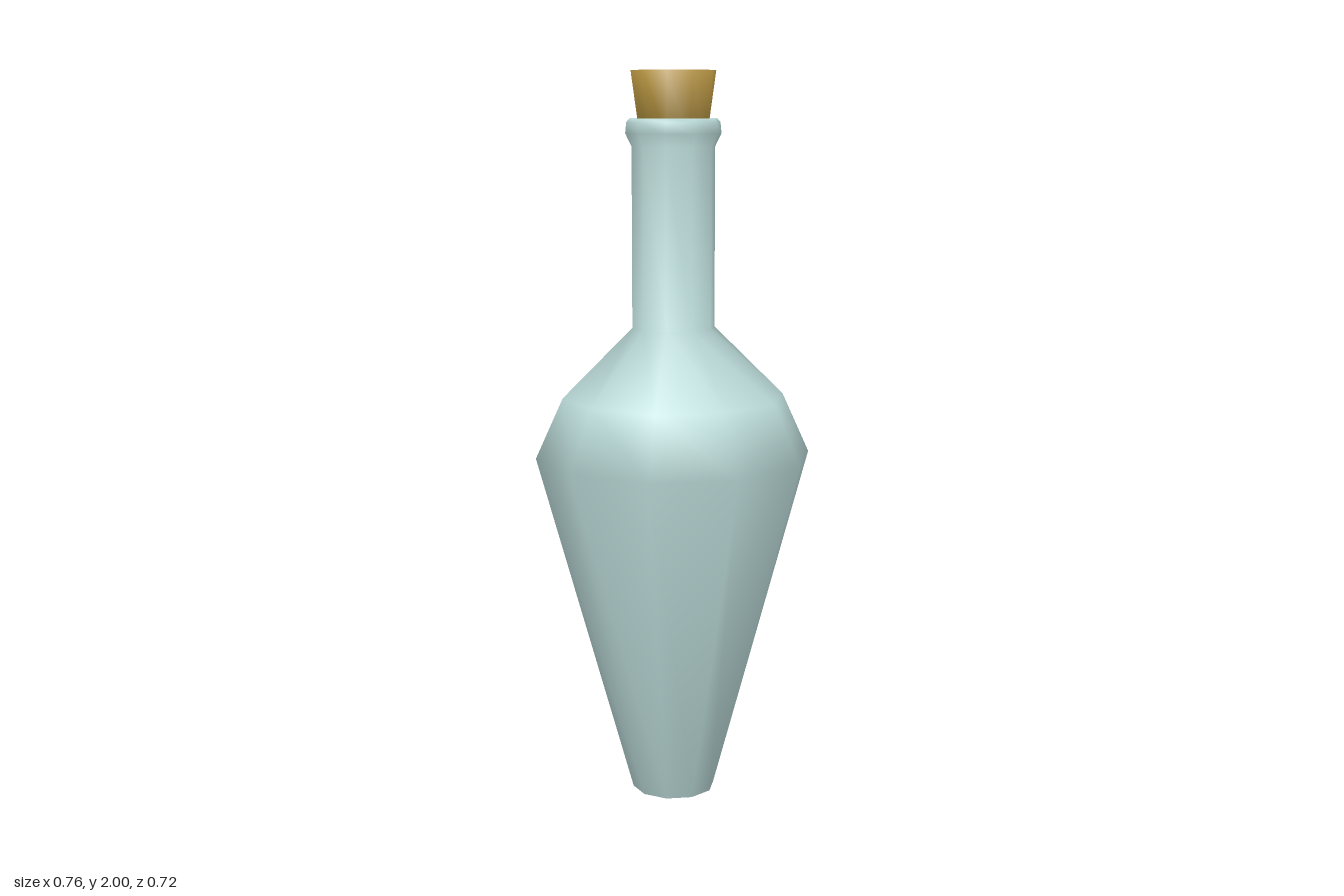
import * as THREE from 'three';

const SIDES = 10;

// Ten-sided turned part with a corner on +x; profile is [radius, height] from bottom to top
function turned(name, profile, material) {
  const points = profile.map(([r, y]) => new THREE.Vector2(r, y));
  const mesh = new THREE.Mesh(new THREE.LatheGeometry(points, SIDES, Math.PI / 2), material);
  mesh.name = name;
  return mesh;
}

export function createModel() {
  const glass = new THREE.MeshStandardMaterial({ color: 0xbcdcda });
  glass.name = 'pale glass';
  const corkBrown = new THREE.MeshStandardMaterial({ color: 0xb08f3e });
  corkBrown.name = 'cork brown';

  const model = new THREE.Group();
  model.name = 'corkedBottle';

  // Bottle: base, tapering body, shoulder, neck, flared lip and the rim turning inwards
  model.add(turned('bottle', [
    [0, 0], [0.115, 0],
    [0.38, 0.96], [0.305, 1.125],
    [0.113, 1.315], [0.113, 1.8],
    [0.13, 1.835], [0.127, 1.865], [0.118, 1.875],
    [0.095, 1.868],
  ], glass));

  // Cork: tapered plug reaching slightly into the neck
  model.add(turned('cork', [
    [0, 1.82], [0.09, 1.82], [0.115, 2], [0, 2],
  ], corkBrown));

  return model;
}
